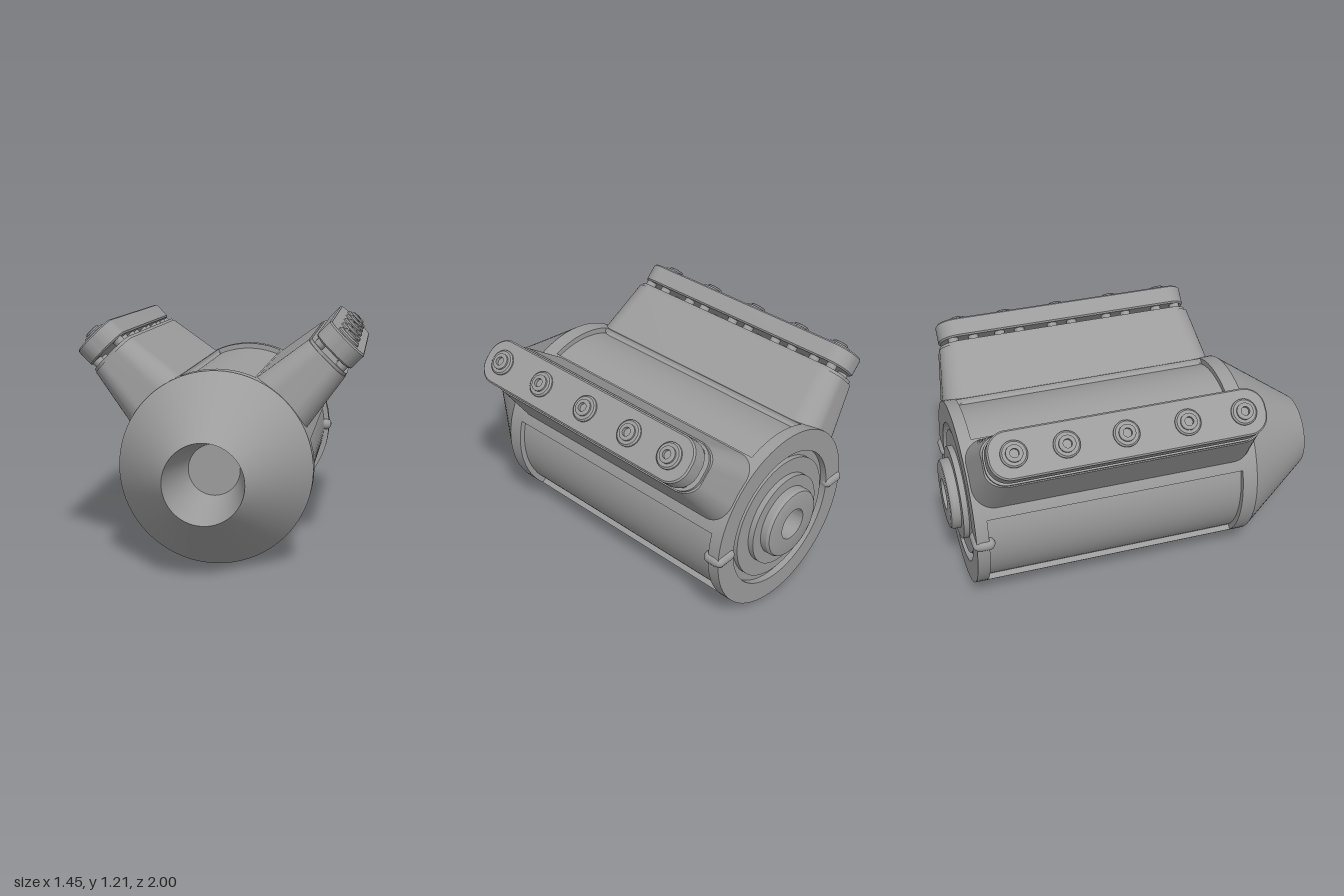
import * as THREE from 'three';
import { toCreasedNormals } from 'three/addons/utils/BufferGeometryUtils.js';

const metal = new THREE.MeshStandardMaterial({ color: 0x9c9c9c });
metal.name = 'grey metal';

const AXIS_Y = 0.495, R = 0.49, RECESS_R = 0.46;
const BANK_Z = -0.168;

function part(name, geometry, parent, x = 0, y = 0, z = 0) {
  const mesh = new THREE.Mesh(geometry, metal);
  mesh.name = name;
  mesh.position.set(x, y, z);
  parent.add(mesh);
  return mesh;
}

// Revolve [radius, height] points about y, keeping sharp edges
function lathe(points, segments) {
  const g = new THREE.LatheGeometry(points.map(p => new THREE.Vector2(p[0], p[1])), segments);
  return toCreasedNormals(g, 0.4);
}

// Rounded rectangle in x/z, extruded upward along y
function roundedSlab(hw, hl, r, height, bevel = 0) {
  const s = new THREE.Shape();
  const w = hw - bevel, l = hl - bevel, q = r - bevel;
  s.absarc(w - q, l - q, q, 0, Math.PI / 2);
  s.absarc(-w + q, l - q, q, Math.PI / 2, Math.PI);
  s.absarc(-w + q, -l + q, q, Math.PI, Math.PI * 1.5);
  s.absarc(w - q, -l + q, q, Math.PI * 1.5, Math.PI * 2);
  s.closePath();
  const g = new THREE.ExtrudeGeometry(s, {
    depth: height - 2 * bevel, curveSegments: 10, bevelEnabled: bevel > 0,
    bevelSize: bevel, bevelThickness: bevel, bevelSegments: 1,
  });
  g.translate(0, 0, bevel);
  g.rotateX(-Math.PI / 2);
  return g;
}

// Barrel section with three recessed panels: top and both sides
function panelledBarrel(zBack, zFront) {
  const rad = Math.PI / 180;
  const spans = [
    [-45, 17, RECESS_R], [17, 67.2, R], [67.2, 112.8, RECESS_R],
    [112.8, 163, R], [163, 225, RECESS_R], [225, 315, R],
  ];
  const pts = [];
  for (const [a, b, r] of spans) {
    const n = Math.ceil((b - a) / 4);
    for (let i = 0; i <= n; i++) {
      const t = (a + (b - a) * i / n) * rad;
      pts.push(new THREE.Vector2(Math.cos(t) * r, Math.sin(t) * r));
    }
  }
  const g = new THREE.ExtrudeGeometry(new THREE.Shape(pts), { depth: zFront - zBack, bevelEnabled: false });
  g.translate(0, 0, zBack);
  return toCreasedNormals(g, 0.4);
}

function addBank(parent, side) {
  const bank = new THREE.Group();
  bank.name = side > 0 ? 'leftBank' : 'rightBank';
  bank.rotation.z = -side * Math.PI / 4;
  bank.position.z = BANK_Z;
  parent.add(bank);

  // Tapered pedestal
  const base = 0.42, top = 0.768;
  const fin = roundedSlab(0.183, 0.755, 0.12, top - base);
  const p = fin.attributes.position;
  for (let i = 0; i < p.count; i++) {
    const t = p.getY(i) / (top - base);
    p.setX(i, p.getX(i) * (1 - 0.29 * t));
    p.setZ(i, p.getZ(i) * (1 - 0.065 * t));
  }
  part('pedestal', toCreasedNormals(fin, 0.4), bank, 0, base, 0);
  part('pedestalGasket', toCreasedNormals(roundedSlab(0.124, 0.7, 0.1, 0.016), 0.4), bank, 0, top, 0);

  // Cover
  part('cover', toCreasedNormals(roundedSlab(0.12, 0.698, 0.105, 0.102, 0.008), 0.4), bank, 0, 0.81, 0);

  // Ringed bolts on the cover and the spacer pins under it
  const bolt = lathe([
    [0.066, -0.01], [0.066, 0.008], [0.058, 0.016], [0.042, 0.016], [0.042, 0.026],
    [0.036, 0.03], [0.022, 0.03], [0.022, 0.012], [0, 0.012],
  ], 24);
  const pin = new THREE.CylinderGeometry(0.028, 0.028, 0.06, 14);
  for (const z of [0.41, 0.12, -0.19, -0.485, -0.74]) {
    part('bolt', bolt, bank, 0, 0.912, z - BANK_Z);
    for (const x of [-0.075, 0.075])
      for (const dz of [-0.055, 0.055])
        part('spacerPin', pin, bank, x, 0.79, z - BANK_Z + dz);
  }
}

export function createModel() {
  const model = new THREE.Group();
  model.name = 'engine';
  const body = new THREE.Group();
  body.name = 'body';
  body.position.y = AXIS_Y;
  model.add(body);

  // Main barrel
  part('barrel', panelledBarrel(-0.86, 0.51), body);

  // Conical nose with a tapering bore
  const nose = lathe([
    [0.4, 0.51], [R, 0.51], [R, 0.59], [0.198, 1], [0.13, 0.63], [0, 0.63],
  ], 72);
  nose.rotateX(Math.PI / 2);
  part('nose', nose, body);

  // Stepped rear plate and hub with a socket
  const rear = lathe([
    [0, -0.88], [0.085, -0.88], [0.085, -0.998], [0.17, -0.998], [0.182, -0.994],
    [0.19, -0.98], [0.19, -0.945], [0.25, -0.945], [0.25, -0.915], [0.335, -0.915],
    [0.335, -0.89], [0.375, -0.89], [0.375, -0.925], [R, -0.925], [R, -0.86], [0.4, -0.86],
  ], 72);
  rear.rotateX(Math.PI / 2);
  part('rearPlate', rear, body);
  const key = new THREE.CylinderGeometry(0.025, 0.025, 0.07, 14);
  key.rotateX(Math.PI / 2);
  part('socketPin', key, body, 0, 0, -0.905);

  // Rounded latches wrapping the rear rim on both sides
  const radial = new THREE.CapsuleGeometry(0.03, 0.07, 6, 16);
  radial.rotateZ(Math.PI / 2);
  const axial = new THREE.CapsuleGeometry(0.032, 0.04, 6, 16);
  axial.rotateX(Math.PI / 2);
  for (const side of [-1, 1]) {
    part('latchArm', radial, body, side * 0.435, 0, -0.914);
    part('latchTip', axial, body, side * 0.472, 0, -0.88);
    addBank(body, side);
  }
  return model;
}
